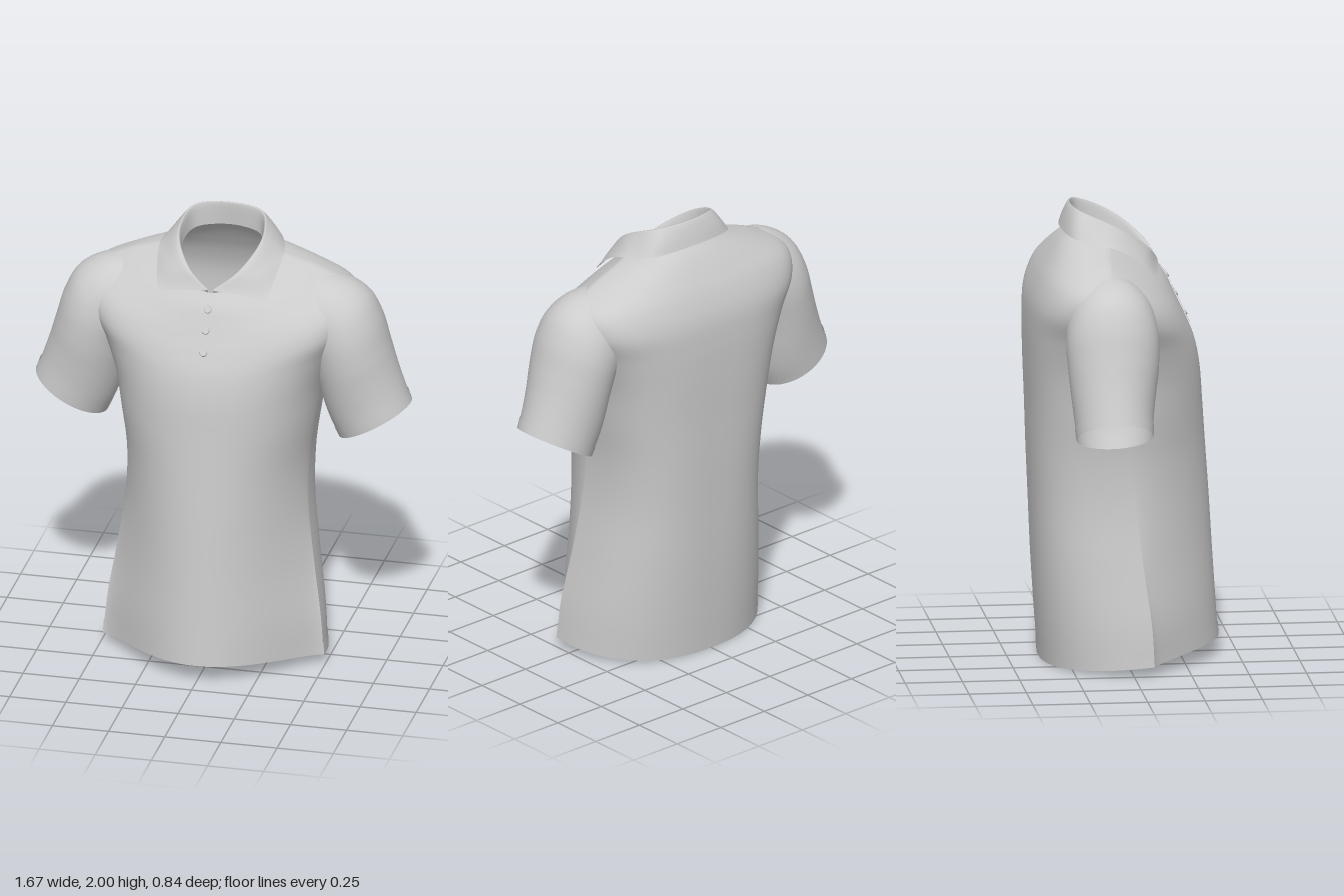
import * as THREE from 'three';

const cloth = new THREE.MeshStandardMaterial({ color: 0xcccccc, roughness: 0.8, side: THREE.DoubleSide });

// Smooth interpolation through rows of numbers; t runs 0..1 over the rows
function spline(rows) {
  const it = new THREE.CubicInterpolant(rows.map((_, i) => i), rows.flat(), rows[0].length);
  return t => Array.from(it.evaluate(Math.min(Math.max(t, 0), 1) * (rows.length - 1)));
}

// Grid surface from point(u, v); closed joins u = 1 back to u = 0
function surface(name, nu, nv, closed, point) {
  const cols = closed ? nu : nu + 1, pos = [], idx = [];
  for (let j = 0; j <= nv; j++)
    for (let i = 0; i < cols; i++) pos.push(...point(i / nu, j / nv));
  for (let j = 0; j < nv; j++)
    for (let i = 0; i < nu; i++) {
      const i2 = (i + 1) % cols, a = j * cols + i, b = j * cols + i2;
      idx.push(a, b, b + cols, a, b + cols, a + cols);
    }
  const g = new THREE.BufferGeometry();
  g.setAttribute('position', new THREE.Float32BufferAttribute(pos, 3));
  g.setIndex(idx);
  g.computeVertexNormals();
  const m = new THREE.Mesh(g, cloth);
  m.name = name;
  return m;
}

// Torso rings: half width, side y, side z, front y, front z, back y, back z, front power, back roundness
const torso = spline([
  [.49, .04, .09, .08, .42, .00, -.36, 2.8, .86],
  [.475, .22, .08, .25, .408, .20, -.375, 2.5, .82],
  [.44, .45, .05, .48, .393, .45, -.39, 2.1, .77],
  [.408, .70, .02, .72, .378, .70, -.40, 1.6, .72],
  [.405, .92, -.01, .93, .363, .92, -.408, 1.25, .68],
  [.43, 1.12, -.03, 1.12, .35, 1.13, -.413, 1.05, .66],
  [.46, 1.30, -.05, 1.28, .338, 1.32, -.418, .97, .64],
  [.515, 1.46, -.07, 1.40, .315, 1.48, -.418, .97, .65],
  [.585, 1.61, -.09, 1.49, .28, 1.60, -.408, .97, .68],
  [.575, 1.715, -.10, 1.56, .247, 1.70, -.375, 1, .74],
  [.44, 1.79, -.10, 1.625, .217, 1.78, -.33, 1, .78],
  [.30, 1.838, -.09, 1.68, .19, 1.85, -.28, 1, .83],
  [.178, 1.875, -.07, 1.735, .148, 1.895, -.235, 1.1, .85],
]);

function torsoPoint(a, v, grow = 0) {
  const [X, ys, zs, yf, zf, yb, zb, p, e] = torso(v);
  const s = Math.sin(a), c = Math.cos(a), front = c >= 0;
  const k = Math.pow(Math.abs(c), front ? p : e);
  const x = Math.sign(s) * (front ? Math.abs(s) : Math.pow(Math.abs(s), e));
  return [x * (X + grow), ys + ((front ? yf : yb) - ys) * k, zs + (front ? zf - zs + grow : zb - zs - grow) * k];
}

// Point on the chest at a given x and y
function chestPoint(x, y, lift) {
  let lo = .4, hi = 1;
  for (let i = 0; i < 30; i++) {
    const v = (lo + hi) / 2;
    if (torsoPoint(Math.asin(x / torso(v)[0]), v)[1] < y) lo = v; else hi = v;
  }
  const p = torsoPoint(Math.asin(x / torso(lo)[0]), lo);
  return [p[0], p[1] + lift * .5, p[2] + lift * .85];
}

// Sleeve rings: outer x, outer y, inner x, inner y, centre z, half depth
const sleeveRings = spline([
  [.83, 1.19, .52, 1.02, -.105, .165],
  [.797, 1.28, .48, 1.10, -.105, .173],
  [.767, 1.37, .45, 1.19, -.103, .184],
  [.738, 1.47, .425, 1.29, -.10, .196],
  [.70, 1.595, .40, 1.37, -.10, .202],
  [.64, 1.695, .36, 1.42, -.10, .195],
  [.53, 1.757, .32, 1.44, -.10, .18],
  [.38, 1.775, .26, 1.45, -.10, .14],
]);

function sleevePoint(side, u, v, grow = 0) {
  const [ox, oy, ix, iy, zc, r] = sleeveRings(v);
  const a = u * Math.PI * 2 * side, c = Math.cos(a) * (1 + grow / r);
  return [side * ((ox + ix) / 2 + (ox - ix) / 2 * c), (oy + iy) / 2 + (oy - iy) / 2 * c, zc + (r + grow) * Math.sin(a)];
}

// Collar lines from the front opening to the centre back
const collarLines = [
  [[.012, 1.725, .14], [.085, 1.77, .095], [.15, 1.835, .02], [.172, 1.87, -.08], [.135, 1.89, -.185], [0, 1.895, -.228]],
  [[.012, 1.748, .150], [.10, 1.815, .10], [.168, 1.895, .01], [.182, 1.95, -.09], [.14, 1.988, -.19], [0, 1.995, -.222]],
  [[.02, 1.750, .155], [.125, 1.82, .105], [.190, 1.890, .01], [.200, 1.94, -.095], [.155, 1.98, -.203], [0, 1.990, -.235]],
  [[.13, 1.735, .146], [.20, 1.80, .085], [.238, 1.86, -.015], [.238, 1.898, -.11], [.18, 1.935, -.222], [0, 1.945, -.255]],
  [[.24, 1.712, .128], [.258, 1.77, .065], [.274, 1.84, -.035], [.265, 1.866, -.13], [.2, 1.888, -.235], [0, 1.900, -.27]],
].map(half => {
  const mirrored = half.slice(0, -1).reverse().map(([x, y, z]) => [-x, y, z]);
  return spline([...half, ...mirrored]);
});

export function createModel() {
  const shirt = new THREE.Group();
  shirt.name = 'poloShirt';
  const TAU = Math.PI * 2;

  // Torso with a slightly raised hem band
  shirt.add(surface('torso', 144, 84, true, (u, v) => torsoPoint(u * TAU, v)));
  shirt.add(surface('hemBand', 144, 4, true, (u, v) => torsoPoint(u * TAU, v * .026, .003)));

  // Sleeves and cuff bands
  for (const side of [1, -1]) {
    const label = side > 0 ? 'left' : 'right';
    shirt.add(surface(label + 'Sleeve', 64, 48, true, (u, v) => sleevePoint(side, u, v)));
    shirt.add(surface(label + 'CuffBand', 64, 4, true, (u, v) => sleevePoint(side, u, v * .07, .003)));
  }

  // Collar: inner stand folding over to the outer leaf
  shirt.add(surface('collar', 80, 16, false, (u, v) => spline(collarLines.map(l => l(u)))(v)));

  // Placket strip and buttons
  shirt.add(surface('placket', 8, 24, false, (u, v) => chestPoint(-.035 + .065 * u, 1.46 + .275 * v, .005)));
  const buttonShape = new THREE.CylinderGeometry(.015, .018, .008, 20);
  for (const y of [1.505, 1.592, 1.675]) {
    const button = new THREE.Mesh(buttonShape, cloth);
    button.name = 'button';
    button.position.set(...chestPoint(0, y, .006));
    button.rotation.x = 1.05;
    shirt.add(button);
  }
  return shirt;
}
